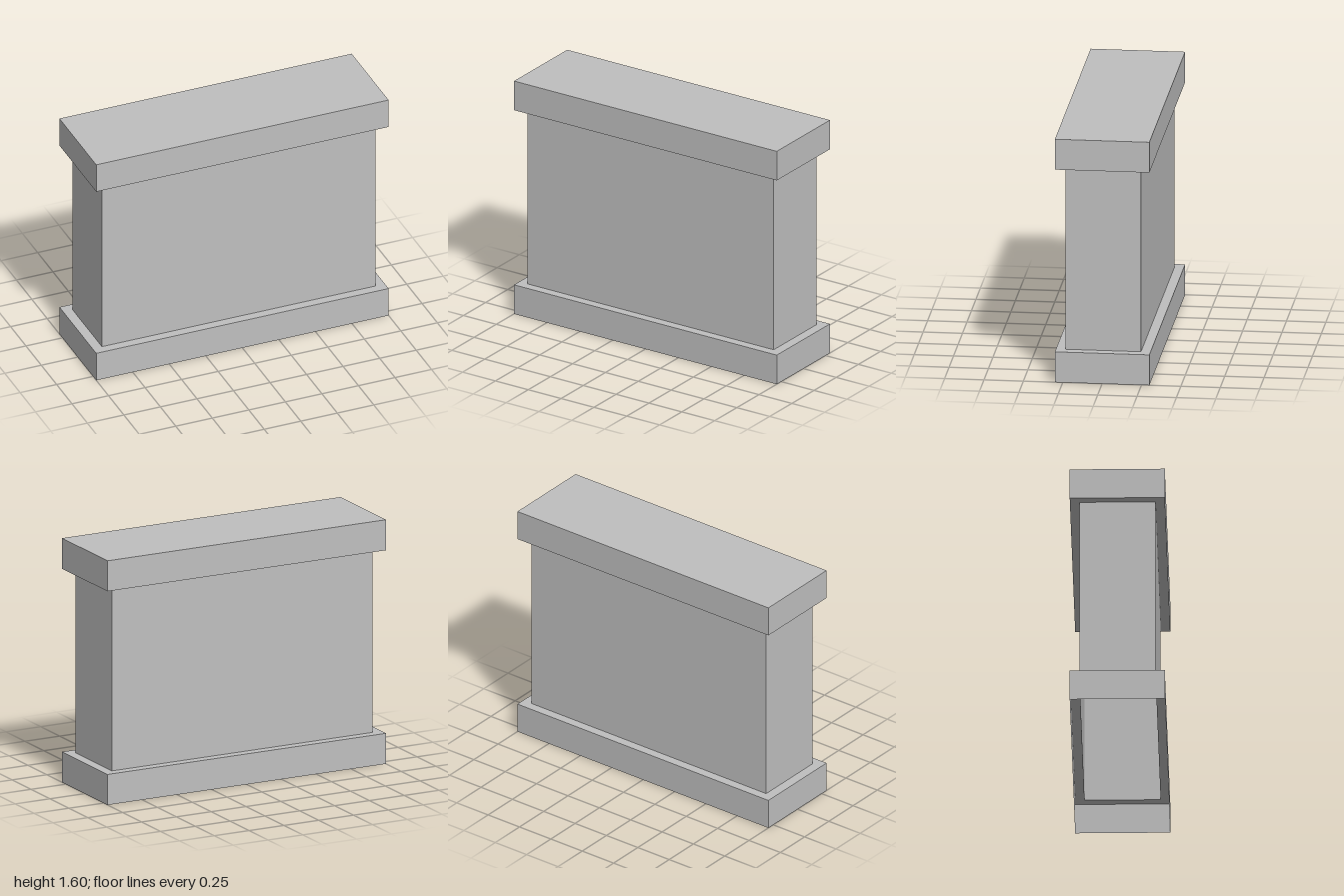
import * as THREE from 'three';

// Rectangular cross-sections: [half width, y, half depth]
const outer = (y) => [1, y, 0.3];
const inner = (y) => [0.936, y, 0.24];

// Thin open shell joining successive rectangles, with flat faces
function shell(name, sections, material) {
  const corners = ([x, y, z]) => [[-x, y, z], [x, y, z], [x, y, -z], [-x, y, -z]];
  const positions = [];
  for (let s = 0; s < sections.length - 1; s++) {
    const low = corners(sections[s]);
    const high = corners(sections[s + 1]);
    for (let i = 0; i < 4; i++) {
      const j = (i + 1) % 4;
      for (const p of [low[i], low[j], high[j], low[i], high[j], high[i]]) positions.push(...p);
    }
  }
  const geometry = new THREE.BufferGeometry();
  geometry.setAttribute('position', new THREE.Float32BufferAttribute(positions, 3));
  geometry.computeVertexNormals();
  const mesh = new THREE.Mesh(geometry, material);
  mesh.name = name;
  return mesh;
}

export function createModel() {
  const group = new THREE.Group();
  group.name = 'wallBlock';
  const stone = new THREE.MeshStandardMaterial({ color: 0xbfbfbf, side: THREE.DoubleSide });
  stone.name = 'light grey stone';

  // Hollow plinth, open below, with a ledge up to the wall
  group.add(shell('plinth', [outer(0), outer(0.2), inner(0.2)], stone));

  // Hollow wall
  group.add(shell('wall', [inner(0.2), inner(1.4)], stone));

  // Coping: underside ledge and sides
  group.add(shell('coping', [inner(1.4), outer(1.4), outer(1.6)], stone));

  // Flat lid closing the coping
  const lid = new THREE.Mesh(new THREE.PlaneGeometry(2, 0.6).rotateX(-Math.PI / 2), stone);
  lid.name = 'copingTop';
  lid.position.y = 1.6;
  group.add(lid);

  return group;
}
